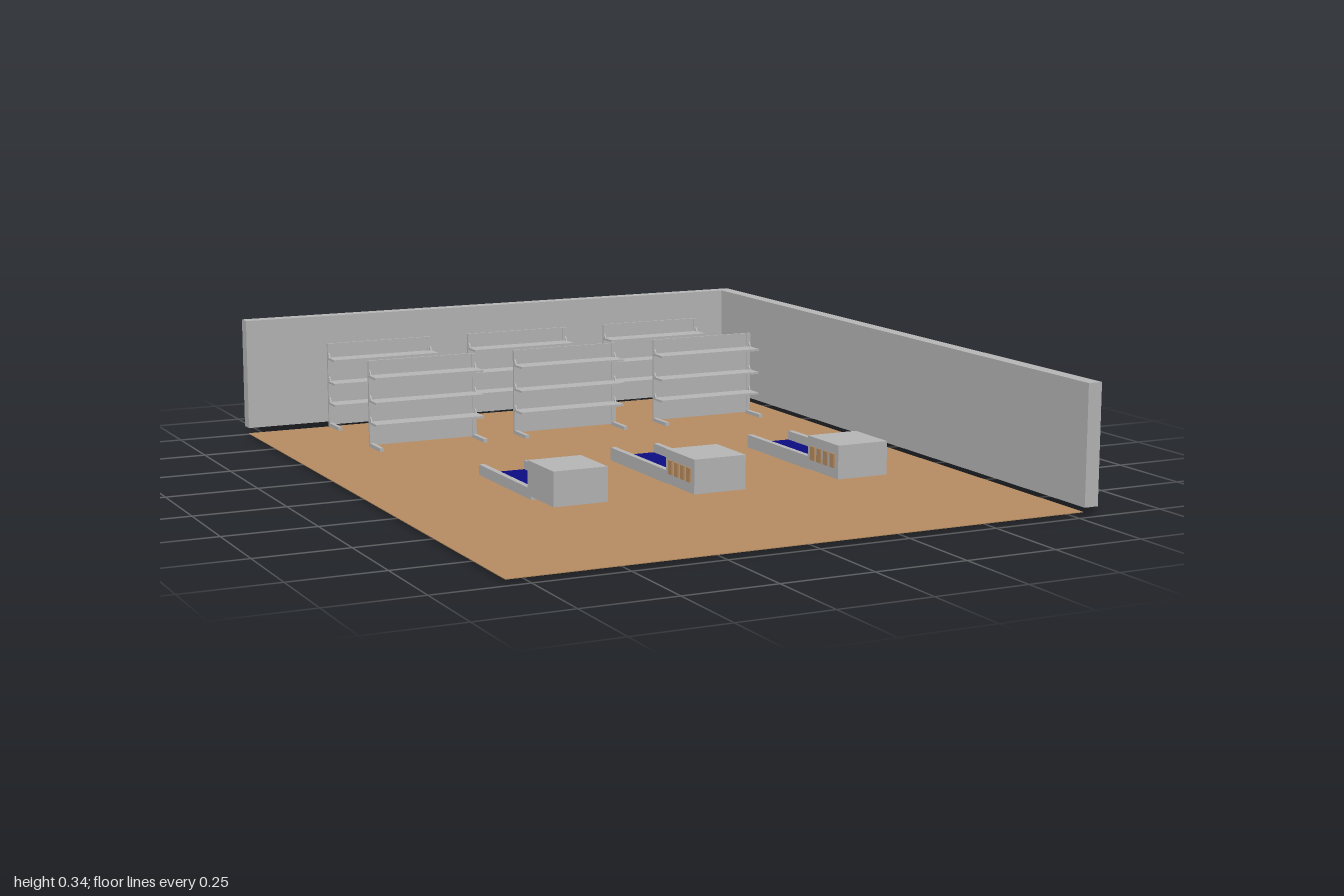
import * as THREE from 'three';

export function createModel() {
  const grey = new THREE.MeshStandardMaterial({ color: 0xb8b8b8 });
  grey.name = 'paleGrey';
  const brown = new THREE.MeshStandardMaterial({ color: 0xb88e63 });
  brown.name = 'floorBrown';
  const blue = new THREE.MeshStandardMaterial({ color: 0x0c0c84 });
  blue.name = 'beltBlue';

  const model = new THREE.Group();
  model.name = 'shop';

  // Box given by its lower and upper limits on each axis
  const box = (parent, name, mat, x0, x1, y0, y1, z0, z1) => {
    const mesh = new THREE.Mesh(new THREE.BoxGeometry(x1 - x0, y1 - y0, z1 - z0), mat);
    mesh.position.set((x0 + x1) / 2, (y0 + y1) / 2, (z0 + z1) / 2);
    mesh.name = name;
    parent.add(mesh);
    return mesh;
  };
  const group = (name, x, y, z) => {
    const g = new THREE.Group();
    g.name = name;
    g.position.set(x, y, z);
    model.add(g);
    return g;
  };

  // Floor and the two walls, which hang just above it
  box(model, 'floor', brown, -0.8, 0.785, 0.005, 0.007, -0.98, 0.965);
  box(model, 'backWall', grey, -0.805, 0.765, 0.026, 0.344, -1, -0.96);
  box(model, 'sideWall', grey, 0.765, 0.805, 0.026, 0.344, -1, 1);

  // Shelf units: two rows of three
  const w = 0.326;
  for (const z of [-0.895, -0.543]) {
    for (const x of [-0.582, -0.138, 0.313]) {
      const unit = group('shelfUnit', x, 0, z);
      box(unit, 'backPanel', grey, 0.003, w - 0.003, 0.03, 0.272, 0, 0.006);
      for (const y of [0.092, 0.155, 0.225]) {
        box(unit, 'shelf', grey, 0, w, y, y + 0.006, 0.006, 0.064);
        // Triangular brackets holding up the shelf ends
        for (const bx of [0.002, w - 0.006]) {
          const shape = new THREE.Shape([
            new THREE.Vector2(0, 0), new THREE.Vector2(-0.012, 0), new THREE.Vector2(0, 0.018),
          ]);
          const bracket = new THREE.Mesh(
            new THREE.ExtrudeGeometry(shape, { depth: 0.004, bevelEnabled: false }), grey);
          bracket.rotation.y = Math.PI / 2;
          bracket.position.set(bx, y + 0.006, 0.006);
          bracket.name = 'bracket';
          unit.add(bracket);
        }
      }
      for (const px of [0, w - 0.012]) {
        box(unit, 'post', grey, px, px + 0.012, 0.026, 0.272, 0.001, 0.009);
        box(unit, 'foot', grey, px, px + 0.012, 0.026, 0.036, 0.009, 0.09);
      }
    }
  }

  // Checkouts: conveyor in a shallow trough, with a counter at its front end
  const checkouts = [
    { x: -0.417, y: 0, z: -0.124, cx: -0.435, cy: 0.026, cz: 0.25, packs: false },
    { x: -0.027, y: 0.015, z: -0.114, cx: -0.03, cy: 0.018, cz: 0.236, packs: true },
    { x: 0.404, y: 0.015, z: -0.114, cx: 0.401, cy: 0.018, cz: 0.236, packs: true },
  ];
  for (const c of checkouts) {
    const conveyor = group('conveyor', c.x, c.y, c.z);
    box(conveyor, 'rightRail', grey, 0, 0.016, 0, 0.036, 0, 0.352);
    box(conveyor, 'leftRail', grey, 0.133, 0.149, 0, 0.036, 0, 0.352);
    box(conveyor, 'belt', blue, 0.016, 0.133, 0.003, 0.011, 0, 0.356);

    const counter = group('counter', c.cx, c.cy, c.cz);
    box(counter, 'counterBody', grey, 0, 0.151, 0, 0.092, 0, 0.163);
    // Row of small plain plates along the counter's side
    if (c.packs) {
      for (let i = 0; i < 4; i++) {
        const z = 0.018 + i * 0.035;
        box(counter, 'sidePlate', brown, -0.004, 0, 0.028, 0.066, z, z + 0.022);
      }
    }
  }
  return model;
}
